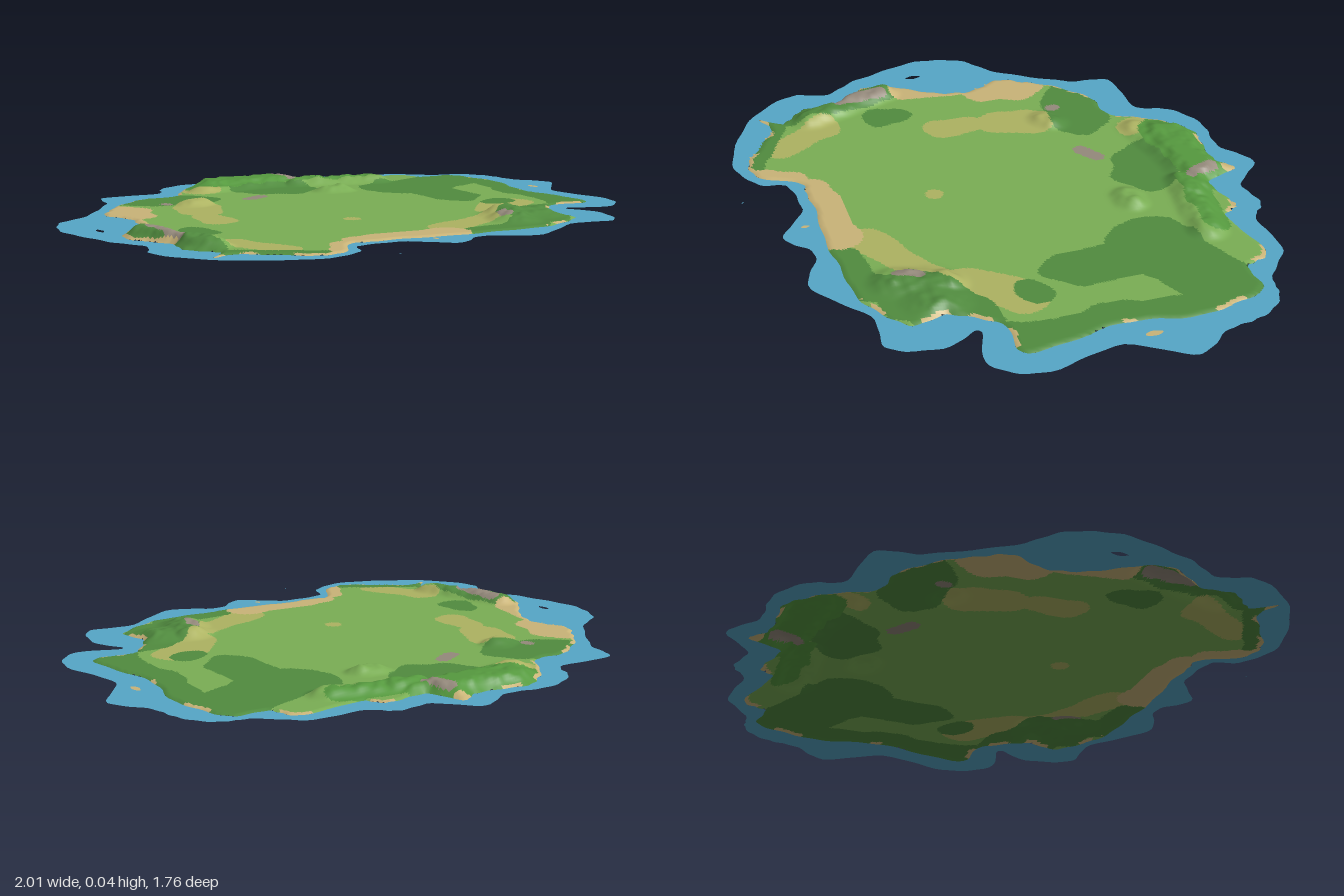
import * as THREE from 'three';

const mat = (name, color) =>
  new THREE.MeshStandardMaterial({ name, color, side: THREE.DoubleSide });
const colours = {
  meadow: mat('meadowGreen', 0x7aae54),
  forest: mat('forestGreen', 0x518c3f),
  hill: mat('hillGreen', 0x569a3f),
  sand: mat('beachSand', 0xcab478),
  dry: mat('dryGrass', 0xadb362),
  rock: mat('greyRock', 0x958a7c),
  water: mat('shallowWater', 0x56a7c7),
};
const colourNames = Object.keys(colours);

// Outlines as x, z pairs seen from above
const WATER = [0.04, -0.88, 0.18, -0.78, 0.30, -0.8, 0.36, -0.75, 0.57, -0.75, 0.72, -0.65, 0.80, -0.64, 0.89, -0.54,
  0.91, -0.43, 1, -0.29, 0.89, -0.07, 0.95, 0.2, 0.85, 0.34, 0.69, 0.31, 0.74, 0.42, 0.70, 0.6, 0.54, 0.61,
  0.30, 0.76, 0.14, 0.70, 0.03, 0.78, -0.13, 0.69, -0.29, 0.71, -0.32, 0.79, -0.45, 0.855, -0.72, 0.77, -0.89, 0.57,
  -0.86, 0.45, -0.93, 0.31, -1, 0.08, -0.97, -0.09, -0.85, -0.2, -0.69, -0.44, -0.65, -0.59, -0.42, -0.63,
  -0.39, -0.72, -0.24, -0.81, -0.1, -0.80];
const LAND = [0.06, -0.8, 0.13, -0.68, 0.28, -0.71, 0.33, -0.66, 0.59, -0.69, 0.62, -0.61, 0.75, -0.6, 0.82, -0.39,
  0.79, -0.1, 0.84, 0.22, 0.7, 0.23, 0.59, 0.37, 0.6, 0.51, 0.43, 0.62, 0.14, 0.65, -0.18, 0.65, -0.29, 0.66,
  -0.37, 0.79, -0.48, 0.8, -0.67, 0.68, -0.75, 0.71, -0.70, 0.63, -0.77, 0.56, -0.78, 0.43, -0.87, 0.26, -0.78, 0.1,
  -0.72, -0.05, -0.77, -0.2, -0.71, -0.32, -0.56, -0.48, -0.42, -0.51, -0.3, -0.69, -0.19, -0.76, -0.02, -0.75];

// Brush strokes of ground colour: x1, z1, x2, z2, radius; later kinds lie on top
const DRY = [[-0.43, -0.22, -0.47, -0.1, 0.08], [-0.49, 0, -0.49, 0.1, 0.06], [-0.62, 0.5, -0.52, 0.68, 0.06],
  [-0.3, -0.57, -0.29, -0.55, 0.06], [0.45, 0.27, 0.58, 0.13, 0.08], [0.12, 0.52, 0.38, 0.38, 0.06],
  [-0.08, 0.24, -0.08, 0.245, 0.028]];
const FOREST = [[0.4, -0.35, 0.68, -0.48, 0.15], [0.47, -0.25, 0.47, -0.06, 0.1], [0.82, -0.45, 0.82, 0.2, 0.12],
  [0.54, 0.11, 0.57, 0.08, 0.05], [-0.54, -0.41, -0.41, -0.4, 0.11], [-0.07, -0.5, 0.02, -0.49, 0.11],
  [-0.63, 0.24, -0.63, 0.3, 0.06], [-0.84, 0.25, -0.75, 0.6, 0.1], [-0.72, 0.68, -0.46, 0.82, 0.08],
  [0.47, 0.47, 0.61, 0.33, 0.11], [0.2, 0.63, 0.4, 0.58, 0.06]];
const HILL = [[-0.25, -0.67, 0.08, -0.7, 0.1], [0.1, -0.62, 0.38, -0.6, 0.05]];
const SAND = [[-0.7, -0.26, -0.71, -0.12, 0.09], [-0.76, -0.08, -0.79, 0.15, 0.065], [-0.35, 0.78, -0.31, 0.68, 0.06],
  [-0.24, 0.63, 0.07, 0.61, 0.07], [0.06, -0.8, 0.06, -0.78, 0.03]];
const ROCK = [[-0.2, -0.33, -0.14, -0.37, 0.025], [-0.51, -0.32, -0.51, -0.33, 0.02], [0.06, -0.72, 0.09, -0.63, 0.02],
  [-0.77, 0.26, -0.75, 0.42, 0.025], [0.36, 0.48, 0.38, 0.42, 0.02]];
const strokes = { dry: DRY, forest: FOREST, hill: HILL, sand: SAND, rock: ROCK };

// Ridges: x1, z1, x2, z2, radius, height
const RIDGES = [[-0.2, -0.65, 0.09, -0.68, 0.13, 0.035], [0.1, -0.6, 0.4, -0.56, 0.08, 0.028],
  [-0.28, -0.56, -0.1, -0.6, 0.07, 0.02], [0.13, -0.38, 0.17, -0.38, 0.07, 0.024], [-0.44, -0.27, -0.41, -0.29, 0.07, 0.021],
  [-0.8, 0.25, -0.69, 0.54, 0.08, 0.031], [0.38, 0.5, 0.43, 0.36, 0.1, 0.028], [0.43, 0.4, 0.52, 0.4, 0.13, 0.02]];

// Closed, slightly ragged outline through the given pairs
function outline(pairs, steps, ragged) {
  const pts = [];
  for (let i = 0; i < pairs.length; i += 2) pts.push(new THREE.Vector3(pairs[i], 0, pairs[i + 1]));
  return new THREE.CatmullRomCurve3(pts, true, 'centripetal').getPoints(steps).slice(0, -1).map((p, i) => {
    const scale = 1 + ragged * (Math.sin(i * 1.3) + Math.sin(i * 0.57 + 1)) / 2 / Math.hypot(p.x, p.z);
    return new THREE.Vector2(p.x * scale, p.z * scale);
  });
}

function inside(poly, x, z) {
  let hit = false;
  poly.forEach((a, i) => {
    const b = poly[(i + 1) % poly.length];
    if ((a.y > z) !== (b.y > z) && x < (b.x - a.x) * (z - a.y) / (b.y - a.y) + a.x) hit = !hit;
  });
  return hit;
}

// Nearest point on a segment and its distance
function nearest(x, z, ax, az, bx, bz) {
  const dx = bx - ax, dz = bz - az;
  const t = THREE.MathUtils.clamp(((x - ax) * dx + (z - az) * dz) / (dx * dx + dz * dz), 0, 1);
  const px = ax + t * dx, pz = az + t * dz;
  return { x: px, z: pz, d: Math.hypot(x - px, z - pz) };
}

// Smooth seeded value noise from 0 to 1
function noise(x, z) {
  const hash = (i, j) => { const s = Math.sin(i * 127.1 + j * 311.7) * 43758.5453; return s - Math.floor(s); };
  const { lerp, smoothstep } = THREE.MathUtils;
  const i = Math.floor(x), j = Math.floor(z), u = smoothstep(x - i, 0, 1), v = smoothstep(z - j, 0, 1);
  return lerp(lerp(hash(i, j), hash(i + 1, j), u), lerp(hash(i, j + 1), hash(i + 1, j + 1), u), v);
}

function height(x, z, coast) {
  let hill = 0;
  for (const [ax, az, bx, bz, r, h] of RIDGES) {
    hill = Math.max(hill, h * (1 - THREE.MathUtils.smoothstep(nearest(x, z, ax, az, bx, bz).d, r * 0.15, r)));
  }
  const rough = 0.55 + 0.45 * noise(x * 18, z * 18) + 0.35 * noise(x * 45 + 9, z * 45);
  return 0.005 * Math.min(1, coast / 0.01) + Math.min(0.031, hill * rough * THREE.MathUtils.smoothstep(coast, 0, 0.04));
}

function groundColour(x, z, shore) {
  // Broken sandy rim along the shore
  if (shore < 0.009 && noise(x * 14 + 5, z * 14) > 0.58) return 'sand';
  let name = 'meadow';
  const wobble = 0.8 + 0.4 * noise(x * 13 + 3, z * 13);
  for (const [kind, list] of Object.entries(strokes)) {
    if (list.some(([ax, az, bx, bz, r]) => nearest(x, z, ax, az, bx, bz).d < r * wobble)) name = kind;
  }
  return name;
}

// Height field trimmed to the coastline, one material group per ground colour
function terrain(coastline) {
  const cell = 0.0085, x0 = -0.9, z0 = -0.83, nx = 212, nz = 196;
  const positions = [], coastDistance = [];
  for (let j = 0; j <= nz; j++) for (let i = 0; i <= nx; i++) {
    let x = x0 + i * cell, z = z0 + j * cell, best = { d: 9 };
    coastline.forEach((a, k) => {
      const b = coastline[(k + 1) % coastline.length];
      const n = nearest(x, z, a.x, a.y, b.x, b.y);
      if (n.d < best.d) best = n;
    });
    if (best.d < cell * 0.55) { x = best.x; z = best.z; best.d = 0; }
    positions.push(x, height(x, z, best.d), z);
    coastDistance.push(best.d);
  }
  const faces = colourNames.map(() => []);
  const addFace = (...ids) => {
    const x = ids.reduce((s, k) => s + positions[k * 3], 0) / 3;
    const z = ids.reduce((s, k) => s + positions[k * 3 + 2], 0) / 3;
    if (!inside(coastline, x, z)) return;
    const name = groundColour(x, z, Math.min(...ids.map((k) => coastDistance[k])));
    faces[colourNames.indexOf(name)].push(...ids);
  };
  for (let j = 0; j < nz; j++) for (let i = 0; i < nx; i++) {
    const a = j * (nx + 1) + i, b = a + nx + 1;
    addFace(a, b, a + 1);
    addFace(a + 1, b, b + 1);
  }
  const geo = new THREE.BufferGeometry();
  geo.setAttribute('position', new THREE.Float32BufferAttribute(positions, 3));
  geo.setIndex(faces.flat());
  let start = 0;
  faces.forEach((f, k) => { if (f.length) geo.addGroup(start, f.length, k); start += f.length; });
  geo.computeVertexNormals();
  return geo;
}

// Flat sheet from an outline
function sheet(points, holes = []) {
  const flip = (pts) => pts.map((p) => new THREE.Vector2(p.x, -p.y));
  const shape = new THREE.Shape(flip(points));
  holes.forEach((h) => shape.holes.push(new THREE.Path(flip(h))));
  return new THREE.ShapeGeometry(shape).rotateX(-Math.PI / 2);
}

// Small oval outline
const oval = (x, z, rx, rz) => outline([x - rx, z, x, z - rz, x + rx, z, x, z + rz], 16, 0.002);

export function createModel() {
  const group = new THREE.Group();
  group.name = 'island';
  const add = (name, geo, material, y = 0) => {
    const mesh = new THREE.Mesh(geo, material);
    mesh.name = name;
    mesh.position.y = y;
    group.add(mesh);
  };

  const coastline = outline(LAND, 320, 0.008);
  add('land', terrain(coastline), colourNames.map((n) => colours[n]));

  // Shallows ring with a small gap in the west
  add('shallows', sheet(outline(WATER, 320, 0.006), [coastline, oval(-0.89, 0.1, 0.01, 0.03)]), colours.water);
  add('waterSpeck', sheet(oval(-0.23, 0.87, 0.003, 0.003)), colours.water);

  // Sandbars off the shore
  [[0.87, -0.19, 0.014, 0.03], [-0.02, 0.7, 0.008, 0.014], [0.28, -0.7, 0.015, 0.015]]
    .forEach((bar) => add('sandbar', sheet(oval(...bar)), colours.sand, 0.004));
  return group;
}
